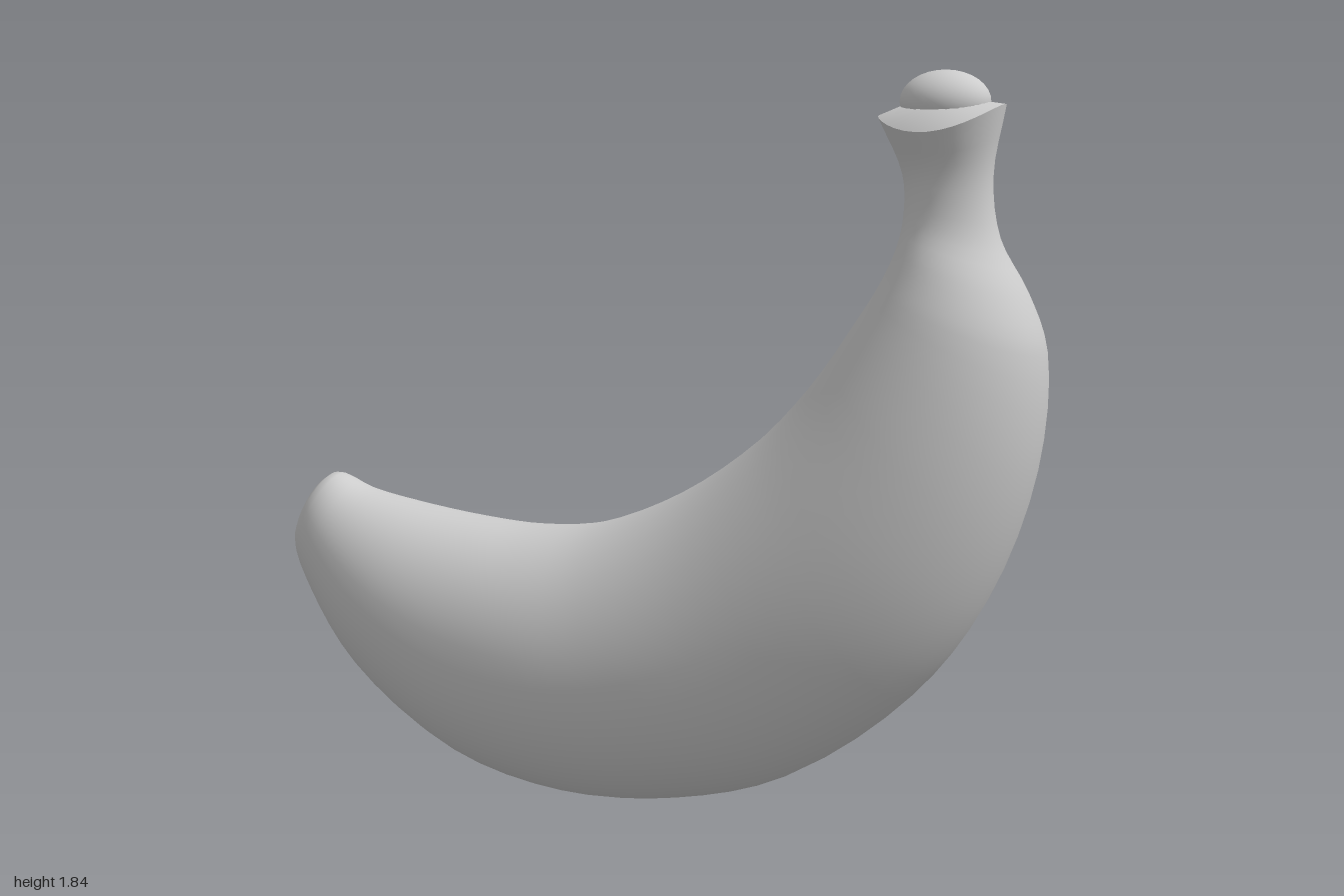
import * as THREE from 'three';

const SIDES = 32;

// Each section: inner x, inner y, outer x, outer y, half width in z, sag of the z sides
const BODY = [
  [-0.972, 0.675, -0.972, 0.675, 0, 0],
  [-0.895, 0.775, -1.0, 0.575, 0.085, 0],
  [-0.8, 0.742, -0.94, 0.45, 0.14, 0],
  [-0.66, 0.715, -0.79, 0.26, 0.2, 0],
  [-0.47, 0.692, -0.5, 0.07, 0.25, 0],
  [-0.3, 0.685, -0.18, 0.005, 0.283, 0],
  [-0.12, 0.71, 0.11, 0.03, 0.296, 0],
  [0.1, 0.805, 0.4, 0.125, 0.3, 0],
  [0.3, 0.95, 0.7, 0.36, 0.295, 0],
  [0.44, 1.1, 0.87, 0.6, 0.275, 0],
  [0.55, 1.26, 0.98, 0.92, 0.235, 0],
  [0.605, 1.35, 0.995, 1.2, 0.19, 0],
  [0.64, 1.43, 0.95, 1.33, 0.145, 0],
  [0.655, 1.51, 0.88, 1.46, 0.095, 0],
  [0.65, 1.6, 0.86, 1.6, 0.082, 0],
  [0.59, 1.735, 0.885, 1.765, 0.118, 0.045],
];

// Closed elliptical rings joined along the sections
function loft(sections) {
  const pos = [], index = [];
  sections.forEach(([ix, iy, ox, oy, w, sag], i) => {
    for (let j = 0; j < SIDES; j++) {
      const a = (j / SIDES) * Math.PI * 2, c = Math.cos(a), s = Math.sin(a);
      pos.push((ix + ox) / 2 + ((ox - ix) / 2) * c, (iy + oy) / 2 + ((oy - iy) / 2) * c - sag * s * s, w * s);
      if (i === sections.length - 1) continue;
      const p = i * SIDES + j, q = i * SIDES + (j + 1) % SIDES;
      index.push(p, p + SIDES, q, q, p + SIDES, q + SIDES);
    }
  });
  const g = new THREE.BufferGeometry();
  g.setAttribute('position', new THREE.Float32BufferAttribute(pos, 3));
  g.setIndex(index);
  g.computeVertexNormals();
  return g;
}

// Smooth in-between sections along splines through the given ones
function refine(sections, steps) {
  const spline = (f) => new THREE.CatmullRomCurve3(sections.map(f));
  const inner = spline((s) => new THREE.Vector3(s[0], s[1], s[4]));
  const outer = spline((s) => new THREE.Vector3(s[2], s[3], s[5]));
  return Array.from({ length: steps + 1 }, (_, i) => {
    const a = inner.getPoint(i / steps), b = outer.getPoint(i / steps);
    return [a.x, a.y, b.x, b.y, a.z, b.z];
  });
}

export function createModel() {
  const group = new THREE.Group();
  const skin = new THREE.MeshStandardMaterial({ color: 0xcccccc });
  skin.name = 'pale grey';

  const add = (name, geometry) => {
    const mesh = new THREE.Mesh(geometry, skin);
    mesh.name = name;
    group.add(mesh);
    return mesh;
  };

  // Curved fruit with its neck and flared rim
  add('fruitBody', loft(refine(BODY, 60)));

  // Cut end inside the rim
  add('stemEnd', loft([
    BODY[BODY.length - 1],
    [0.65, 1.76, 0.84, 1.77, 0.085, 0.01],
    [0.745, 1.77, 0.745, 1.77, 0, 0],
  ]));

  // Rounded nub on top of the stem
  const nub = add('stemNub', new THREE.SphereGeometry(1, 24, 16));
  nub.scale.set(0.105, 0.072, 0.088);
  nub.position.set(0.745, 1.768, 0);

  return group;
}
